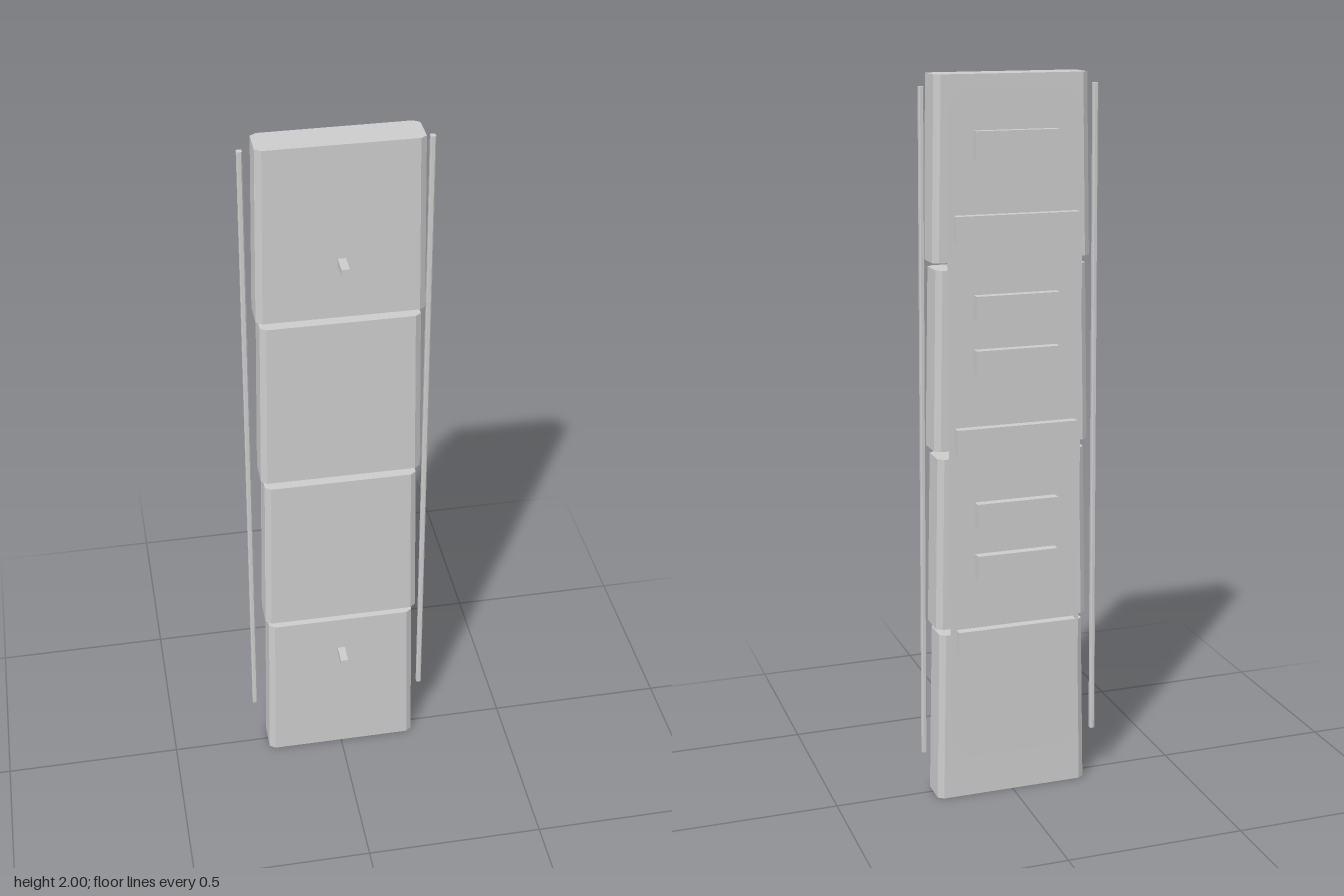
import * as THREE from 'three';

const grey = new THREE.MeshStandardMaterial({ color: 0xcccccc });
grey.name = 'plain grey';

// Rectangle with cut corners, centred on the origin
function cutRect(w, h, cx, cy = cx) {
  const x = w / 2, y = h / 2;
  return [[x, -y + cy], [x, y - cy], [x - cx, y], [-x + cx, y],
    [-x, y - cy], [-x, -y + cy], [-x + cx, -y], [x - cx, -y]];
}

// Solid between two matching rings of 3D points; the rings run
// anticlockwise when looked at from the second ring's side
function loft(name, lower, upper) {
  const pos = [], n = lower.length;
  const tri = (...pts) => pts.forEach((p) => pos.push(...p));
  for (let i = 0; i < n; i++) {
    const j = (i + 1) % n;
    tri(lower[i], lower[j], upper[j]);
    tri(lower[i], upper[j], upper[i]);
    if (i > 0 && i < n - 1) {
      tri(lower[0], lower[i + 1], lower[i]);
      tri(upper[0], upper[i], upper[i + 1]);
    }
  }
  const geo = new THREE.BufferGeometry();
  geo.setAttribute('position', new THREE.Float32BufferAttribute(pos, 3));
  geo.computeVertexNormals();
  const mesh = new THREE.Mesh(geo, grey);
  mesh.name = name;
  return mesh;
}

// Horizontal ring at height y; vertical ring at depth z, facing the back
const flatRing = (pts, y, cx, cz) => pts.map(([a, b]) => [cx + a, y, cz - b]);
const backRing = (pts, z, cy) => pts.map(([a, b]) => [-a, cy + b, z]);

function box(name, w, h, d, x, y, z) {
  const mesh = new THREE.Mesh(new THREE.BoxGeometry(w, h, d), grey);
  mesh.position.set(x, y, z);
  mesh.name = name;
  return mesh;
}

export function createModel() {
  const model = new THREE.Group();
  model.name = 'segmentedPanel';

  // Four stacked blocks, each slightly wider at its foot
  for (const [y0, y1] of [[0, 0.488], [0.507, 0.99], [1.013, 1.5], [1.52, 2]]) {
    model.add(loft('bodyBlock',
      flatRing(cutRect(0.438, 0.1, 0.016, 0.012), y0, 0, -0.005),
      flatRing(cutRect(0.418, 0.096, 0.016, 0.012), y1, 0, -0.005)));
  }

  // Bevelled backing plate and the stub that holds it
  model.add(loft('backPlate',
    backRing(cutRect(0.352, 1.81, 0.036, 0.055), -0.06, 1.045),
    backRing(cutRect(0.374, 1.84, 0.038, 0.058), -0.075, 1.045)));
  model.add(box('plateStub', 0.018, 0.06, 0.02, 0, 1.08, -0.055));

  // Plain raised slats on the backing plate
  const wide = [1, 4, 7];
  [1.825, 1.61, 1.4, 1.255, 1.045, 0.835, 0.688, 0.475].forEach((y, i) => {
    model.add(box('backSlat', wide.includes(i) ? 0.34 : 0.23, 0.07, 0.025, 0, y, -0.0875));
  });

  // Slim rods leaning outwards along both sides
  for (const s of [-1, 1]) {
    const section = cutRect(0.014, 0.016, 0.003);
    model.add(loft(s > 0 ? 'leftRod' : 'rightRod',
      flatRing(section, 0.14, s * 0.252, -0.026),
      flatRing(section, 1.97, s * 0.238, -0.026)));
  }

  // Two pegs on the front
  for (const y of [0.37, 1.68]) {
    model.add(box('frontPeg', 0.021, 0.02, 0.06, 0, y, 0.07));
  }
  return model;
}
